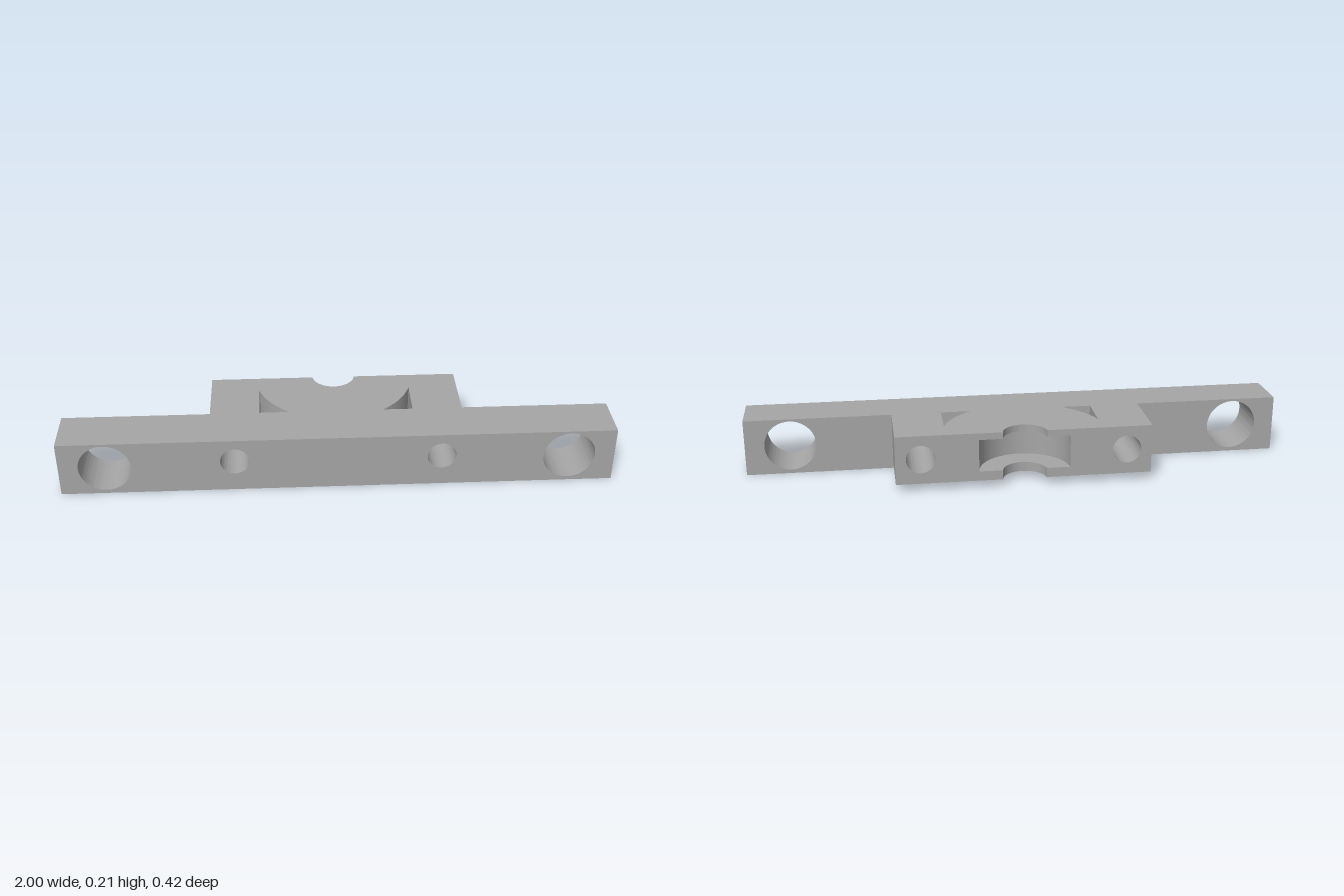
import * as THREE from 'three';
import { toCreasedNormals } from 'three/addons/utils/BufferGeometryUtils.js';

const grey = new THREE.MeshStandardMaterial({ color: 0xa6a6a6 });
grey.name = 'plain grey';

const TOP = 0.21, BACK = 0.21, SEAM = 0.03;   // block height, back depth, bar/block joint
const POCKET_X = 0.281, POCKET_Z = 0.12;      // side and rear limits of the pocket
const DISC_R = 0.295;                         // round web centred on the back edge

function solid(name, shape, depth) {
  const geo = new THREE.ExtrudeGeometry(shape, { depth, bevelEnabled: false, curveSegments: 40 });
  const mesh = new THREE.Mesh(toCreasedNormals(geo, 0.5), grey);
  mesh.name = name;
  return mesh;
}

// Rectangle in the front plane with round through-holes [x, y, radius]
function plate(x0, x1, y0, y1, holes) {
  const s = new THREE.Shape();
  s.moveTo(x0, y0).lineTo(x1, y0).lineTo(x1, y1).lineTo(x0, y1).closePath();
  for (const [x, y, r] of holes) s.holes.push(new THREE.Path().absarc(x, y, r, 0, Math.PI * 2, true));
  return s;
}

// Plan outline of the middle of the block: notch in the back, optional round web in front
function plan(notchR, withDisc) {
  const a = Math.asin(0.01 / notchR), n = notchR * Math.cos(a);
  const s = new THREE.Shape();
  s.moveTo(-POCKET_X, POCKET_Z).lineTo(-POCKET_X, BACK).lineTo(-n, BACK);
  s.absarc(0, BACK + 0.01, notchR, Math.PI + a, 2 * Math.PI - a, false);
  s.lineTo(POCKET_X, BACK).lineTo(POCKET_X, POCKET_Z);
  if (withDisc) {
    const a0 = Math.asin((BACK - POCKET_Z) / DISC_R), a1 = Math.asin((BACK + SEAM) / DISC_R);
    s.absarc(0, BACK, DISC_R, -a0, -a1, true);
    s.absarc(0, BACK, DISC_R, -Math.PI + a1, -Math.PI + a0, true);
  }
  s.closePath();
  return s;
}

function layer(name, notchR, withDisc, y0, y1) {
  const mesh = solid(name, plan(notchR, withDisc), y1 - y0);
  mesh.rotation.x = -Math.PI / 2;
  mesh.position.y = y0;
  return mesh;
}

export function createModel() {
  const model = new THREE.Group();
  model.name = 'mountingBracket';

  // Long front bar with two large and two small holes
  const holes = [];
  for (const s of [-1, 1]) holes.push([s * 0.835, 0.108, 0.094], [s * 0.372, 0.122, 0.052]);
  const bar = solid('frontBar', plate(-1, 1, 0, TOP, holes), 0.21 - SEAM);
  bar.position.z = SEAM;
  model.add(bar);

  // Drilled lugs on both sides of the block
  for (const s of [-1, 1]) {
    const [x0, x1] = s > 0 ? [POCKET_X, 0.4625] : [-0.4625, -POCKET_X];
    const lug = solid(s > 0 ? 'leftLug' : 'rightLug',
      plate(x0, x1, 0.03, TOP, [[s * 0.372, 0.122, 0.052]]), BACK + SEAM);
    lug.position.z = -BACK;
    model.add(lug);
  }

  // Middle of the block: a wide round groove held between two narrower lips
  model.add(
    layer('bottomRim', 0.08, false, 0.03, 0.055),
    layer('bottomLip', 0.08, true, 0.055, 0.065),
    layer('grooveWall', 0.165, true, 0.065, 0.185),
    layer('topLip', 0.08, true, 0.185, TOP),
  );
  return model;
}
